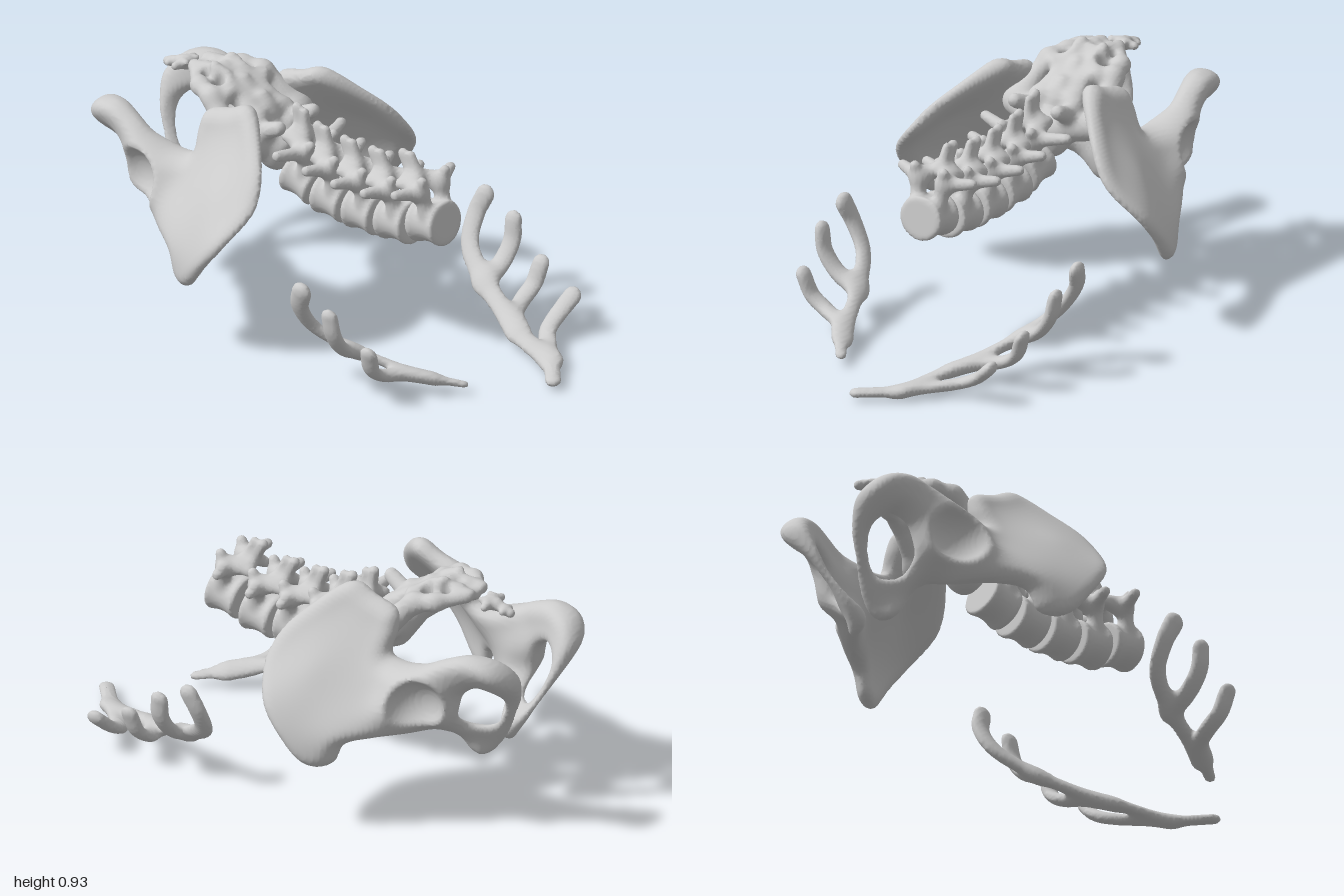
import * as THREE from 'three';

const material = new THREE.MeshStandardMaterial({ color: 0xcccccc, roughness: 0.7 });
const { hypot, max, min, abs } = Math;

// Smooth union and smooth intersection of two distances
const smin = (a, b, k) => { const h = max(k - abs(a - b), 0) / k; return min(a, b) - h * h * k / 4; };
const smax = (a, b, k) => -smin(-a, -b, k);

// Skins a distance rule with one vertex per crossed cell and quads between cells
function skin(sdf, lo, hi, s) {
  const n = lo.map((v, i) => Math.ceil((hi[i] - v) / s) + 1);
  const st = [1, n[0], n[0] * n[1]];
  const f = new Float32Array(n[0] * n[1] * n[2]), cell = new Int32Array(f.length).fill(-1);
  const each = (fn) => {
    for (let k = 0, q = 0; k < n[2]; k++) for (let j = 0; j < n[1]; j++)
      for (let i = 0; i < n[0]; i++, q++) fn([i, j, k], q);
  };
  each((p, q) => { f[q] = sdf(lo[0] + p[0] * s, lo[1] + p[1] * s, lo[2] + p[2] * s); });
  const pos = [], index = [];
  const corner = (c) => (c & 1) * st[0] + (c >> 1 & 1) * st[1] + (c >> 2 & 1) * st[2];
  each((p, q) => {
    if (p.some((v, a) => v >= n[a] - 1)) return;
    const sum = [0, 0, 0];
    let count = 0;
    for (let c = 0; c < 8; c++) for (let a = 0; a < 3; a++) {
      if (c >> a & 1) continue;
      const u = f[q + corner(c)], v = f[q + corner(c | 1 << a)];
      if ((u < 0) === (v < 0)) continue;
      for (let e = 0; e < 3; e++) sum[e] += e === a ? u / (u - v) : c >> e & 1;
      count++;
    }
    if (!count) return;
    cell[q] = pos.length / 3;
    for (let e = 0; e < 3; e++) pos.push(lo[e] + (p[e] + sum[e] / count) * s);
  });
  each((p, q) => {
    for (let a = 0; a < 3; a++) {
      const b = (a + 1) % 3, c = (a + 2) % 3;
      if (!p[b] || !p[c] || p[a] >= n[a] - 1 || (f[q] < 0) === (f[q + st[a]] < 0)) continue;
      const v = [q - st[b] - st[c], q - st[c], q, q - st[b]].map((i) => cell[i]);
      if (v.includes(-1)) continue;
      if (f[q] >= 0) v.reverse();
      index.push(v[0], v[1], v[2], v[0], v[2], v[3]);
    }
  });
  const g = new THREE.BufferGeometry();
  g.setAttribute('position', new THREE.Float32BufferAttribute(pos, 3));
  g.setIndex(index);
  g.computeVertexNormals();
  return g;
}

// Mirrors a geometry across x = 0, keeping faces outward
function mirrorX(g) {
  const m = g.clone().scale(-1, 1, 1), ix = m.index.array;
  for (let i = 0; i < ix.length; i += 3) [ix[i], ix[i + 1]] = [ix[i + 1], ix[i]];
  m.computeVertexNormals();
  return m;
}

// Blended tapered capsules: each part is [start, end, startRadius, endRadius].
// A squash above 1 flattens them toward the body's long axis.
const limbs = (parts, k, squash = 1) => (x, y, z) => {
  let d = 1;
  const len = hypot(x, y - 0.5) + 1e-6, ex = x / len, ey = (y - 0.5) / len;
  for (const [a, b, ra, rb] of parts) {
    const u = b[0] - a[0], v = b[1] - a[1], w = b[2] - a[2];
    const X = x - a[0], Y = y - a[1], Z = z - a[2];
    const t = max(0, min(1, (X * u + Y * v + Z * w) / (u * u + v * v + w * w)));
    const dx = X - u * t, dy = Y - v * t, radial = (dx * ex + dy * ey) * Math.sqrt(squash * squash - 1);
    d = smin(d, hypot(dx, dy, Z - w * t, radial) - ra - (rb - ra) * t, k);
  }
  return d;
};

// Signed distance to a closed spline outline
function outline(points, samples) {
  const c = new THREE.CatmullRomCurve3(points.map(([z, y]) => new THREE.Vector3(z, y, 0)), true);
  const p = c.getPoints(samples);
  return (z, y) => {
    let d = 9, inside = false;
    for (let i = 0; i < samples; i++) {
      const a = p[i], b = p[i + 1], u = b.x - a.x, v = b.y - a.y;
      const t = max(0, min(1, ((z - a.x) * u + (y - a.y) * v) / (u * u + v * v)));
      d = min(d, hypot(z - a.x - u * t, y - a.y - v * t));
      if ((a.y > y) !== (b.y > y) && z < a.x + u * (y - a.y) / v) inside = !inside;
    }
    return inside ? -d : d;
  };
}

// Smooth interpolation of scattered [z, y, ...values]; returns value c at (z, y)
function scatter(pts, c) {
  const phi = (z, y, p) => Math.sqrt((z - p[0]) ** 2 + (y - p[1]) ** 2 + 0.003);
  const m = pts.map((a) => [...pts.map((b) => phi(a[0], a[1], b)), a[c]]), n = pts.length;
  for (let i = 0; i < n; i++) {
    let r = i;
    for (let j = i; j < n; j++) if (abs(m[j][i]) > abs(m[r][i])) r = j;
    [m[i], m[r]] = [m[r], m[i]];
    for (let j = 0; j < n; j++) {
      if (j === i) continue;
      const q = m[j][i] / m[i][i];
      for (let k = i; k <= n; k++) m[j][k] -= q * m[i][k];
    }
  }
  const w = m.map((row, i) => row[n] / row[i]);
  return (z, y) => pts.reduce((s, p, i) => s + w[i] * phi(z, y, p), 0);
}

// Hip bone: a curved plate with varying thickness, pierced and hollowed for the socket
function hipGeometry() {
  const edge = outline([[-0.04, 0.6], [-0.06, 0.7], [-0.14, 0.8], [-0.27, 0.893], [-0.36, 0.86], [-0.47, 0.82],
    [-0.485, 0.75], [-0.48, 0.67], [-0.55, 0.655], [-0.65, 0.685], [-0.75, 0.735], [-0.85, 0.765], [-0.95, 0.74],
    [-1, 0.67], [-0.98, 0.57], [-0.92, 0.45], [-0.85, 0.33], [-0.78, 0.255], [-0.735, 0.285], [-0.69, 0.385],
    [-0.6, 0.385], [-0.5, 0.38], [-0.42, 0.355], [-0.385, 0.275], [-0.33, 0.25], [-0.27, 0.27],
    [-0.18, 0.375], [-0.1, 0.48]], 110);
  const hole = outline([[-0.805, 0.585], [-0.87, 0.62], [-0.912, 0.585], [-0.895, 0.5], [-0.835, 0.415], [-0.775, 0.415], [-0.78, 0.5]], 36);
  // [z, y, x of the plate's middle, half thickness]
  const plate = [[-0.27, 0.87, 0.22, 0.05], [-0.14, 0.79, 0.315, 0.04], [-0.05, 0.62, 0.455, 0.035],
    [-0.1, 0.49, 0.565, 0.035], [-0.18, 0.39, 0.585, 0.035], [-0.33, 0.28, 0.53, 0.04], [-0.42, 0.38, 0.48, 0.05],
    [-0.45, 0.8, 0.22, 0.05], [-0.45, 0.69, 0.265, 0.055], [-0.25, 0.62, 0.43, 0.026], [-0.29, 0.46, 0.515, 0.03],
    [-0.5, 0.42, 0.415, 0.06], [-0.5, 0.56, 0.335, 0.07], [-0.6, 0.52, 0.34, 0.105], [-0.7, 0.54, 0.315, 0.1],
    [-0.77, 0.58, 0.28, 0.065], [-0.765, 0.47, 0.26, 0.055],
    [-0.7, 0.67, 0.315, 0.065], [-0.85, 0.7, 0.27, 0.062], [-0.96, 0.68, 0.225, 0.075], [-0.95, 0.55, 0.13, 0.045],
    [-0.88, 0.42, 0.08, 0.04], [-0.78, 0.3, 0.075, 0.052], [-0.76, 0.36, 0.115, 0.05], [-0.67, 0.42, 0.245, 0.06]];
  const mid = scatter(plate, 2), thick = scatter(plate, 3);
  let key = '', flat, m, t;
  const sdf = (x, y, z) => {
    if (key !== y + ',' + z) {
      key = y + ',' + z;
      flat = smax(edge(z, y), -hole(z, y), 0.02);
      m = mid(z, y);
      t = max(thick(z, y), 0.02);
    }
    const d = smax(flat, (abs(x - m) - t) * 0.75, 0.06);
    return smax(d, 0.122 - hypot(x - 0.43, y - 0.535, z + 0.69), 0.02);
  };
  return skin(sdf, [-0.03, 0.2, -1.04], [0.68, 0.94, 0.02], 0.0115);
}

// Lumbar vertebra: waisted body, arch, and the processes
function vertebraGeometry(reach) {
  const arch = limbs([
    [[0.05, 0.06, 0.015], [0.06, 0.14, 0.005], 0.03, 0.028],
    [[0.06, 0.135, 0], [0.01, 0.175, -0.055], 0.026, 0.022],
    [[0.055, 0.14, -0.03], [0.025, 0.17, -0.085], 0.025, 0.022],
    [[0.06, 0.13, 0], [0.068, 0.185, 0.025], 0.024, 0.02],
    [[0.05, 0.15, -0.02], [0.05, 0.15, -0.1], 0.024, 0.02],
    [[0.06, 0.135, 0], [reach, 0.155, -0.03], 0.029, 0.02],
    [[0, 0.17, -0.045], [0, 0.255, -0.075], 0.02, 0.015],
    [[0, 0.17, -0.08], [0, 0.255, -0.115], 0.02, 0.019]], 0.025);
  const sdf = (x, y, z) => {
    const body = smax(hypot(x, y * 1.1) - 0.083 - 4 * z * z, abs(z) - 0.066, 0.02);
    return smin(body, arch(abs(x), y, z), 0.025);
  };
  return skin(sdf, [-0.25, -0.12, -0.16], [0.25, 0.3, 0.09], 0.0095);
}

// Sacrum: wedge of fused bodies, wings, crests and paired openings
function sacrumGeometry() {
  const solid = limbs([
    [[0, 0.63, -0.3], [0, 0.825, -0.5], 0.085, 0.04], [[0, 0.825, -0.5], [0, 0.86, -0.67], 0.04, 0.024],
    [[0.06, 0.67, -0.33], [0.2, 0.695, -0.37], 0.06, 0.058], [[0.185, 0.72, -0.39], [0.15, 0.835, -0.5], 0.05, 0.036],
    [[0.15, 0.835, -0.5], [0.125, 0.85, -0.58], 0.036, 0.03], [[0.125, 0.85, -0.58], [0.05, 0.865, -0.665], 0.03, 0.022],
    [[0.08, 0.72, -0.32], [0.1, 0.77, -0.22], 0.036, 0.028], [[0.1, 0.84, -0.46], [0.04, 0.86, -0.58], 0.032, 0.028],
    [[0.07, 0.76, -0.36], [0.05, 0.87, -0.52], 0.04, 0.028], [[0.05, 0.87, -0.52], [0.052, 0.905, -0.57], 0.024, 0.022],
    [[0.09, 0.76, -0.34], [0, 0.79, -0.36], 0.025, 0.02], [[0.03, 0.8, -0.4], [0.025, 0.88, -0.62], 0.03, 0.02],
    [[0, 0.76, -0.34], [0, 0.82, -0.38], 0.025, 0.02], [[0, 0.8, -0.42], [0, 0.865, -0.47], 0.025, 0.02],
    [[0, 0.84, -0.5], [0, 0.89, -0.56], 0.025, 0.018], [[0.05, 0.87, -0.6], [0.04, 0.88, -0.68], 0.022, 0.014]], 0.03);
  const pits = limbs([
    [[0.11, 0.65, -0.44], [0.11, 0.9, -0.41], 0.014, 0.014],
    [[0.09, 0.75, -0.53], [0.085, 0.93, -0.51], 0.02, 0.02],
    [[0.075, 0.8, -0.6], [0.07, 0.95, -0.59], 0.013, 0.013]], 0.01);
  const sdf = (x, y, z) => smax(smax(solid(abs(x), y, z), -pits(abs(x), y, z), 0.02), z + 0.245 - (y - 0.62) * 0.4, 0.02);
  return skin(sdf, [-0.3, 0.5, -0.73], [0.3, 0.96, -0.16], 0.0105);
}

// Tailbone: two small segments
function tailboneGeometry() {
  const parts = limbs([
    [[0, 0.85, -0.74], [0, 0.848, -0.77], 0.026, 0.024], [[0, 0.85, -0.75], [0.055, 0.85, -0.755], 0.024, 0.015],
    [[0.025, 0.86, -0.74], [0.03, 0.865, -0.722], 0.014, 0.011], [[0, 0.845, -0.78], [0, 0.828, -0.835], 0.018, 0.018],
    [[0, 0.838, -0.81], [0.025, 0.835, -0.815], 0.016, 0.012]], 0.015);
  return skin((x, y, z) => parts(abs(x), y, z), [-0.1, 0.78, -0.88], [0.1, 0.91, -0.69], 0.006);
}

// Rib cartilage: flattened strips following splines, webbed where they branch
function cartilageGeometry(paths) {
  const strips = paths.map(({ r0, r1, pts }) => {
    const n = pts.length * 4, r = (t) => r0 + (r1 - r0) * t / n;
    const p = new THREE.CatmullRomCurve3(pts.map((v) => new THREE.Vector3(...v))).getPoints(n);
    const parts = p.slice(1).map((q, i) => [p[i].toArray(), q.toArray(), r(i), r(i + 1)]);
    return limbs(parts, 0.002, 1.7);
  });
  const sdf = (x, y, z) => strips.reduce((d, strip) => smin(d, strip(x, y, z), 0.05), 1);
  return skin(sdf, [0, -0.02, 0.14], [0.64, 0.48, 1.04], 0.0105);
}

export function createModel() {
  const group = new THREE.Group();
  const add = (name, geometry) => {
    const mesh = new THREE.Mesh(geometry, material);
    mesh.name = name;
    group.add(mesh);
    return mesh;
  };

  const hip = hipGeometry();
  add('leftHipBone', hip);
  add('rightHipBone', mirrorX(hip));

  // Lumbar column: [y, z, tilt], from the head end down
  const lumbar = vertebraGeometry(0.162), lowest = vertebraGeometry(0.19);
  [[0.55, 0.44, -0.12], [0.512, 0.285, -0.08], [0.505, 0.13, 0], [0.515, -0.02, 0.08], [0.55, -0.165, 0.25]]
    .forEach(([y, z, tilt], i) => {
      const v = add('lumbarVertebra' + (i + 1), i < 4 ? lumbar : lowest);
      v.position.set(0, y, z);
      v.rotation.x = tilt;
    });
  add('sacrum', sacrumGeometry());
  add('tailbone', tailboneGeometry());

  // Rib cartilages; the left side carries one more branch
  const stem = [[0.545, 0.4, 0.25], [0.525, 0.33, 0.225], [0.465, 0.23, 0.24], [0.4, 0.155, 0.34], [0.325, 0.095, 0.5], [0.24, 0.052, 0.67]];
  const branches = [
    { r0: 0.037, r1: 0.04, pts: [[0.545, 0.335, 0.385], [0.53, 0.26, 0.39], [0.47, 0.18, 0.385], [0.385, 0.135, 0.38]] },
    { r0: 0.037, r1: 0.036, pts: [[0.51, 0.215, 0.545], [0.48, 0.14, 0.535], [0.42, 0.095, 0.53], [0.34, 0.075, 0.56], [0.26, 0.055, 0.64]] }];
  const extra = { r0: 0.039, r1: 0.03, pts: [[0.485, 0.14, 0.715], [0.42, 0.085, 0.7], [0.35, 0.05, 0.71], [0.26, 0.033, 0.785], [0.16, 0.025, 0.88], [0.06, 0.025, 0.97]] };
  add('leftRibCartilage', cartilageGeometry([
    { r0: 0.039, r1: 0.036, pts: [...stem, [0.185, 0.024, 0.86]] }, ...branches, extra]));
  add('rightRibCartilage', mirrorX(cartilageGeometry([
    { r0: 0.042, r1: 0.022, pts: [...stem, [0.19, 0.036, 0.74]] }, ...branches])));
  return group;
}
